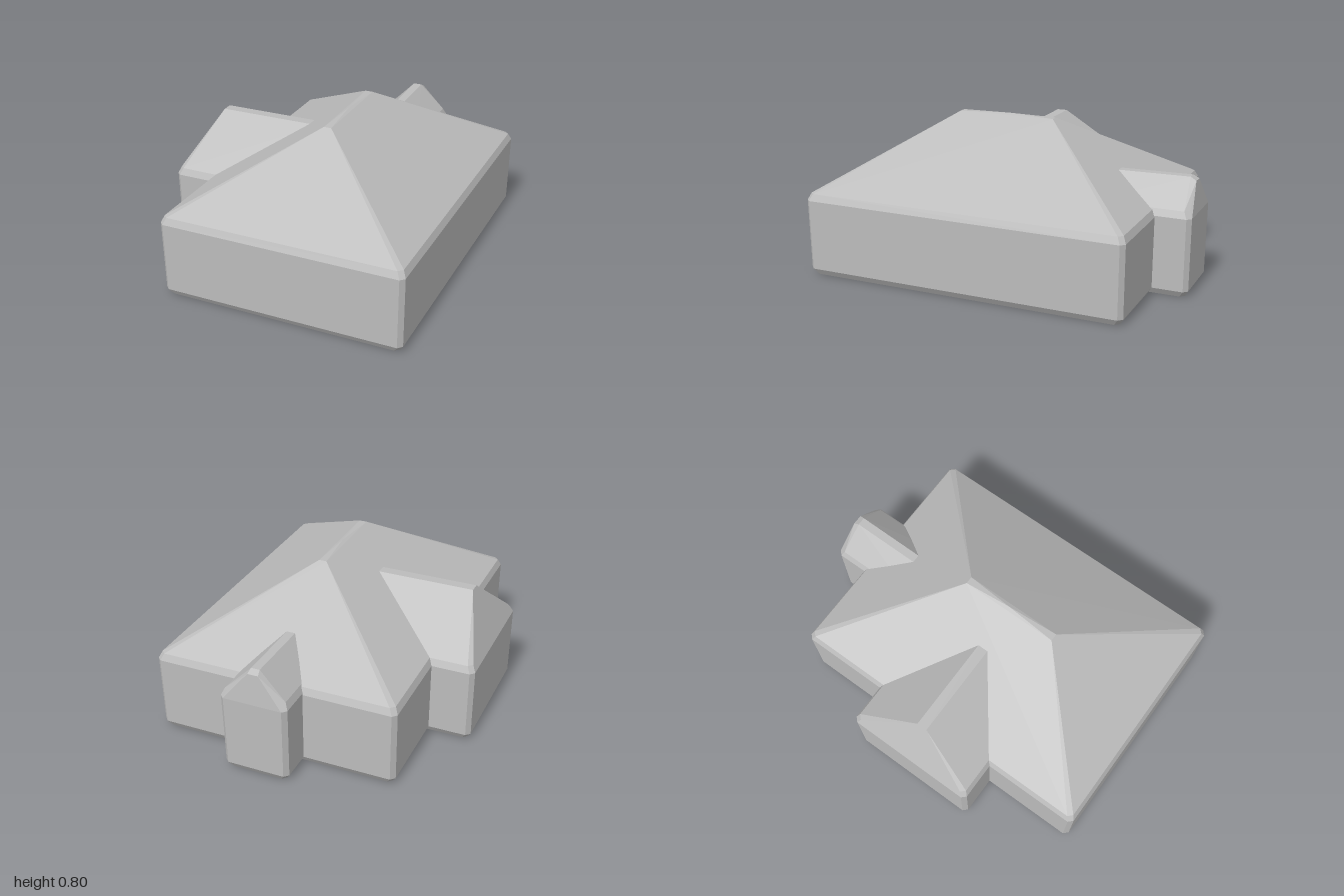
import * as THREE from 'three';
import { ConvexGeometry } from 'three/addons/geometries/ConvexGeometry.js';

// Rectangle with cut corners at height y, shrunk inward by inset
function ring([x0, x1, z0, z1], y, inset, cut = 0.022) {
  const points = [];
  for (const [x, sx] of [[x0 + inset, 1], [x1 - inset, -1]]) {
    for (const [z, sz] of [[z0 + inset, 1], [z1 - inset, -1]]) {
      points.push(new THREE.Vector3(x + sx * cut, y, z), new THREE.Vector3(x, y, z + sz * cut));
    }
  }
  return points;
}

// Solid building block: worn foot, straight walls and softened eaves
function walls(rect, eave) {
  return [
    ...ring(rect, 0.012, 0.025),
    ...ring(rect, 0.045, 0.004),
    ...ring(rect, eave - 0.035, 0),
    ...ring(rect, eave, 0.016),
  ];
}

export function createModel() {
  const model = new THREE.Group();
  model.name = 'house';
  const stone = new THREE.MeshStandardMaterial({ color: 0xbcbcbc, flatShading: true });
  stone.name = 'pale grey';

  // The house stands turned slightly on its plot
  const house = new THREE.Group();
  house.name = 'turnedHouse';
  house.position.set(0.065, 0, 0.05);
  house.rotation.y = -0.14;
  model.add(house);

  const addBlock = (name, rect, eave, ridge) => {
    const points = walls(rect, eave);
    for (const p of ridge) points.push(new THREE.Vector3(...p));
    const mesh = new THREE.Mesh(new ConvexGeometry(points), stone);
    mesh.name = name;
    house.add(mesh);
  };

  // Main body under a hipped roof
  addBlock('mainHouse', [-0.64, 0.64, -0.855, 0.855], 0.447, [
    [-0.02, 0.808, 0.275], [0.02, 0.808, 0.275],
    [-0.02, 0.81, -0.25], [0.02, 0.81, -0.25], [0, 0.817, 0],
  ]);

  // Side wing on the right, with a steep hipped end
  addBlock('sideWing', [-0.858, -0.1, -0.372, 0.345], 0.447, [
    [-0.73, 0.688, -0.03], [-0.73, 0.688, 0.025],
    [-0.17, 0.69, -0.03], [-0.17, 0.69, 0.025],
  ]);

  // Small gabled wing at the back
  addBlock('backWing', [-0.165, 0.185, -1.035, -0.5], 0.455, [
    [-0.02, 0.575, -1.015], [0.035, 0.575, -1.015],
    [-0.015, 0.592, -0.985], [0.03, 0.592, -0.985],
    [-0.015, 0.585, -0.57], [0.03, 0.585, -0.57],
  ]);

  return model;
}
